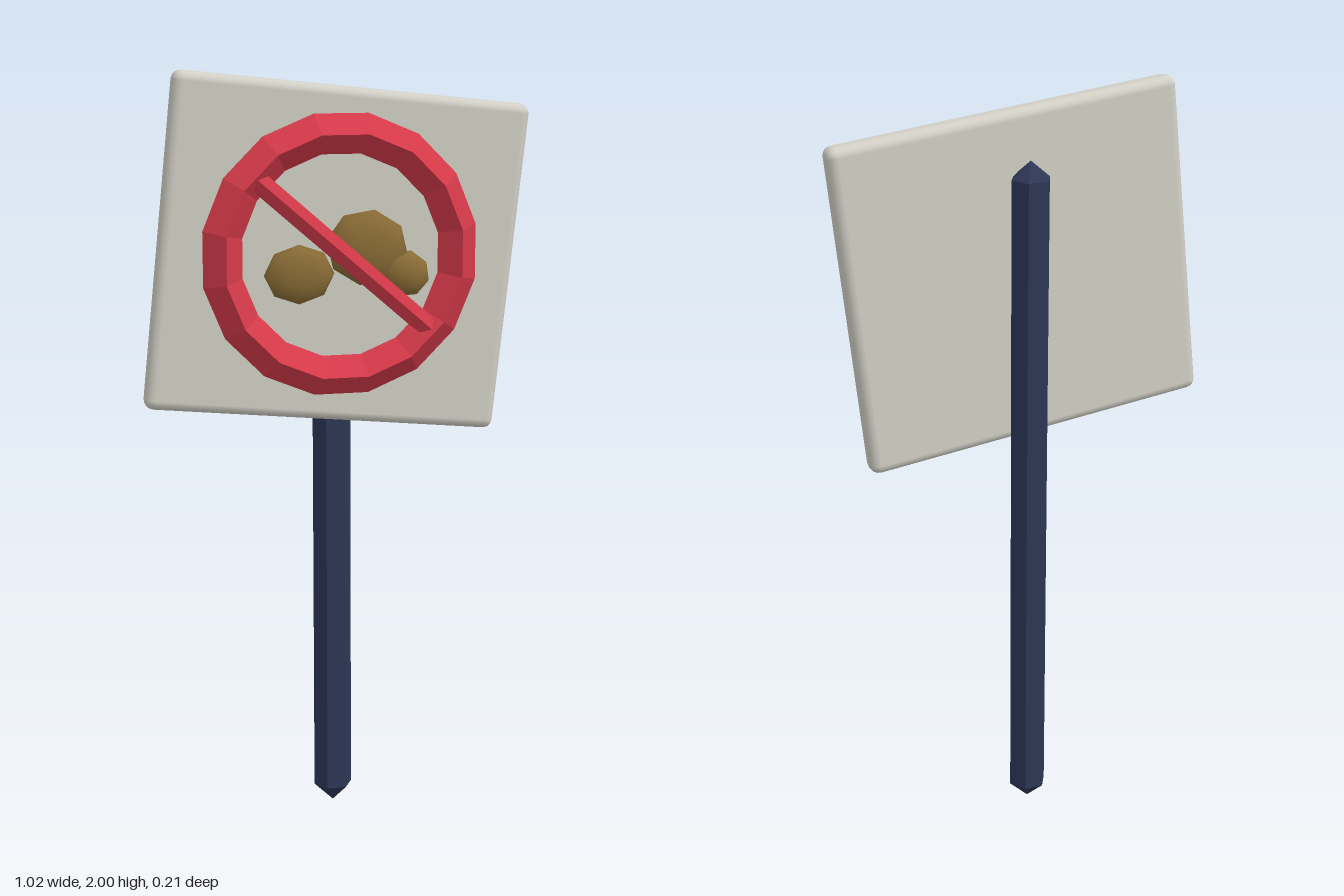
import * as THREE from 'three';
import { RoundedBoxGeometry } from 'three/addons/geometries/RoundedBoxGeometry.js';

const material = (name, color, flatShading = false) => {
  const m = new THREE.MeshStandardMaterial({ color, flatShading });
  m.name = name;
  return m;
};

export function createModel() {
  const white = material('panelWhite', 0xd2d0c6);
  const red = material('signRed', 0xd63a4a, true);
  const navy = material('postNavy', 0x2d3656, true);
  const brown = material('lumpBrown', 0x8a6c36);

  const model = new THREE.Group();
  model.name = 'prohibitionSign';
  const add = (name, geometry, mat, x, y, z, parent = model) => {
    const mesh = new THREE.Mesh(geometry, mat);
    mesh.name = name;
    mesh.position.set(x, y, z);
    parent.add(mesh);
    return mesh;
  };

  // Hexagonal post, pointed at both ends and leaning slightly back
  const profile = [[0, 0], [0.052, 0.05], [0.052, 1.79], [0, 1.835]]
    .map(([r, y]) => new THREE.Vector2(r, y));
  const post = add('post', new THREE.LatheGeometry(profile, 6, Math.PI / 2), navy, 0, 0, -0.04);
  post.rotation.x = -0.01;

  // Crooked panel with softened edges
  const panel = add('panel', new RoundedBoxGeometry(0.94, 0.86, 0.065, 2, 0.025), white, 0, 1.525, 0.0075);
  panel.rotation.z = -0.106;

  // Ring with a diamond section, flat side up
  const ring = add('ring', new THREE.TorusGeometry(0.315, 0.052, 4, 16), red, 0, 1.53, 0.052);
  ring.rotation.z = Math.PI / 16;

  // Diagonal bar
  const barGeometry = new THREE.CylinderGeometry(0.03, 0.03, 0.615, 6);
  barGeometry.rotateY(Math.PI / 2).rotateZ(Math.PI / 2);
  barGeometry.rotateX(Math.PI / 6);
  const bar = add('diagonalBar', barGeometry, red, 0.008, 1.529, 0.066);
  bar.rotation.z = -0.712;

  // Three low rounded lumps: x, y, half width, half height, half depth, turn
  const lumps = new THREE.Group();
  lumps.name = 'lumps';
  model.add(lumps);
  [
    [-0.108, 1.483, 0.094, 0.078, 0.038, 0],
    [0.072, 1.547, 0.112, 0.1, 0.042, -0.2],
    [0.172, 1.477, 0.07, 0.062, 0.045, -0.3],
  ].forEach(([x, y, w, h, d, turn], i) => {
    const geometry = new THREE.SphereGeometry(1, 8, 6);
    geometry.rotateX(Math.PI / 2);
    const lump = add('lump' + (i + 1), geometry, brown, x, y, 0.038, lumps);
    lump.scale.set(w, h, d);
    lump.rotation.z = turn;
  });

  return model;
}
